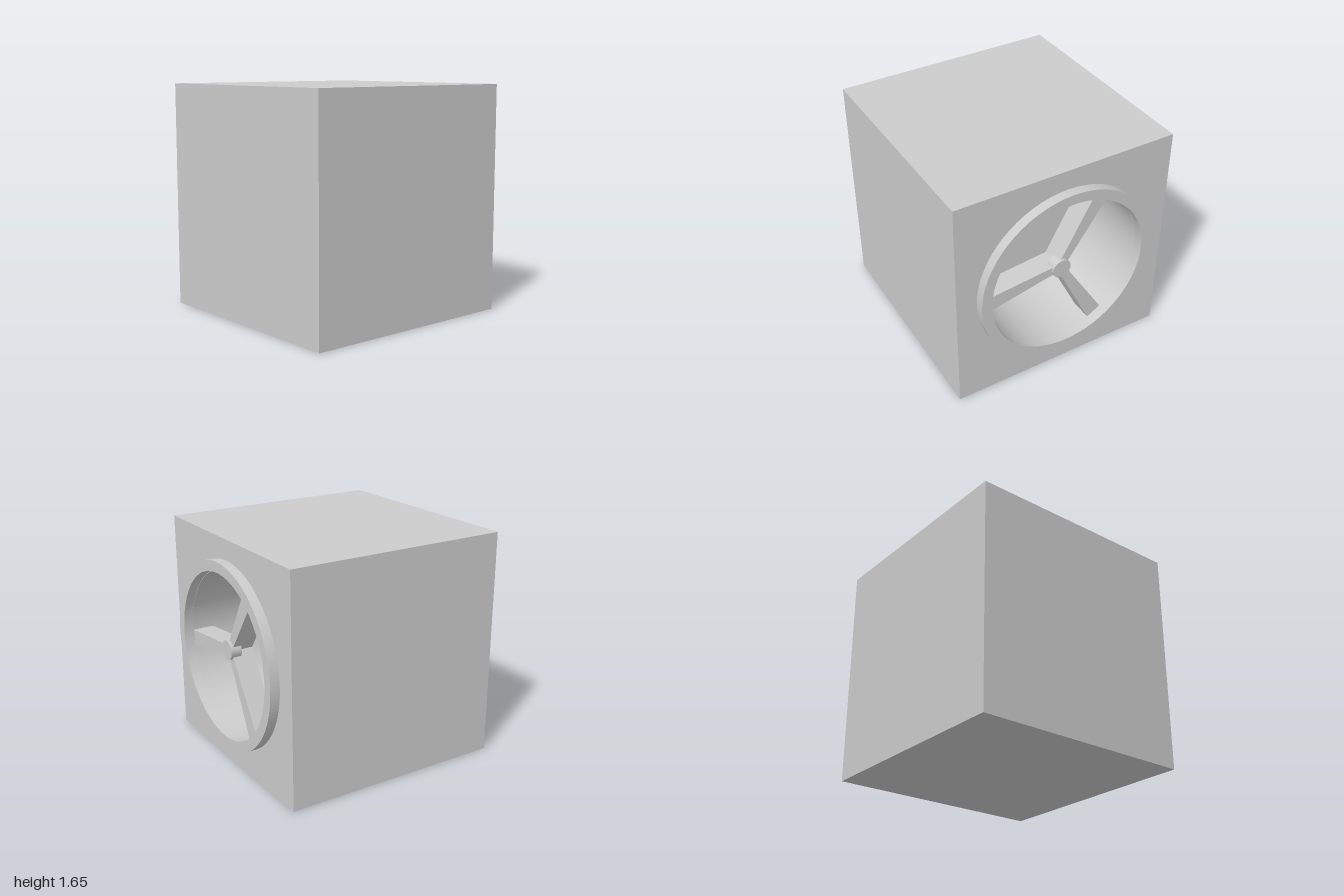
import * as THREE from 'three';
import { toCreasedNormals } from 'three/addons/utils/BufferGeometryUtils.js';

const SIDE = 1.652, HALF = SIDE / 2, CY = 0.83;
const BORE = 0.6, FLOOR = 0.28;

export function createModel() {
  const group = new THREE.Group();
  const material = new THREE.MeshStandardMaterial({ color: 0xcccccc });

  const add = (name, geometry, y, z) => {
    const mesh = new THREE.Mesh(geometry, material);
    mesh.name = name;
    mesh.position.set(0, y, z);
    group.add(mesh);
    return mesh;
  };
  const extrude = (shape, depth) => toCreasedNormals(
    new THREE.ExtrudeGeometry(shape, { depth, bevelEnabled: false, curveSegments: 32 }), 0.5);
  const circle = (r) => new THREE.Path().absarc(0, 0, r, 0, Math.PI * 2, true);
  const polygon = (points) => new THREE.Shape(points.map(([x, y]) => new THREE.Vector2(x, y)));

  // Cube housing: a solid rear block and a bored front block
  add('housingRear', new THREE.BoxGeometry(SIDE, SIDE, HALF + FLOOR), HALF, (FLOOR - HALF) / 2);
  const square = polygon([[-HALF, -HALF], [HALF, -HALF], [HALF, HALF], [-HALF, HALF]]);
  square.holes.push(circle(BORE));
  add('housingFront', extrude(square, HALF - FLOOR), HALF, FLOOR);

  // Raised rim around the opening
  const rim = new THREE.Shape().absarc(0, 0, 0.676, 0, Math.PI * 2, false);
  rim.holes.push(circle(BORE));
  add('rim', extrude(rim, 0.07), CY, HALF);

  // Hub, slightly off centre
  const hubX = -0.025, hubY = 0.03;
  const hub = new THREE.CylinderGeometry(0.07, 0.07, 0.08, 24).rotateX(Math.PI / 2);
  add('hub', hub, CY + hubY, 0.8).position.x = hubX;

  // Three spokes that widen from the hub to the rim
  const ends = [
    [[-0.6, 0.0], [-0.59, -0.12]],
    [[0.335, 0.5], [0.232, 0.56]],
    [[0.232, -0.555], [0.335, -0.495]],
  ];
  for (const [a, b] of ends) {
    const angle = Math.atan2((a[1] + b[1]) / 2 - hubY, (a[0] + b[0]) / 2 - hubX);
    const w = 0.028;
    const nx = -Math.sin(angle) * w, ny = Math.cos(angle) * w;
    const spoke = polygon([a, b, [hubX + nx, hubY + ny], [hubX - nx, hubY - ny]]);
    add('spoke', extrude(spoke, 0.16), CY, 0.66);
  }

  // Turn the opening to the left side, with a slight skew
  group.rotation.y = Math.PI / 2 + 0.2105;
  group.position.set(-0.02, 0, -0.0025);
  const model = new THREE.Group();
  model.name = 'model';
  group.name = 'fanBox';
  model.add(group);
  return model;
}
